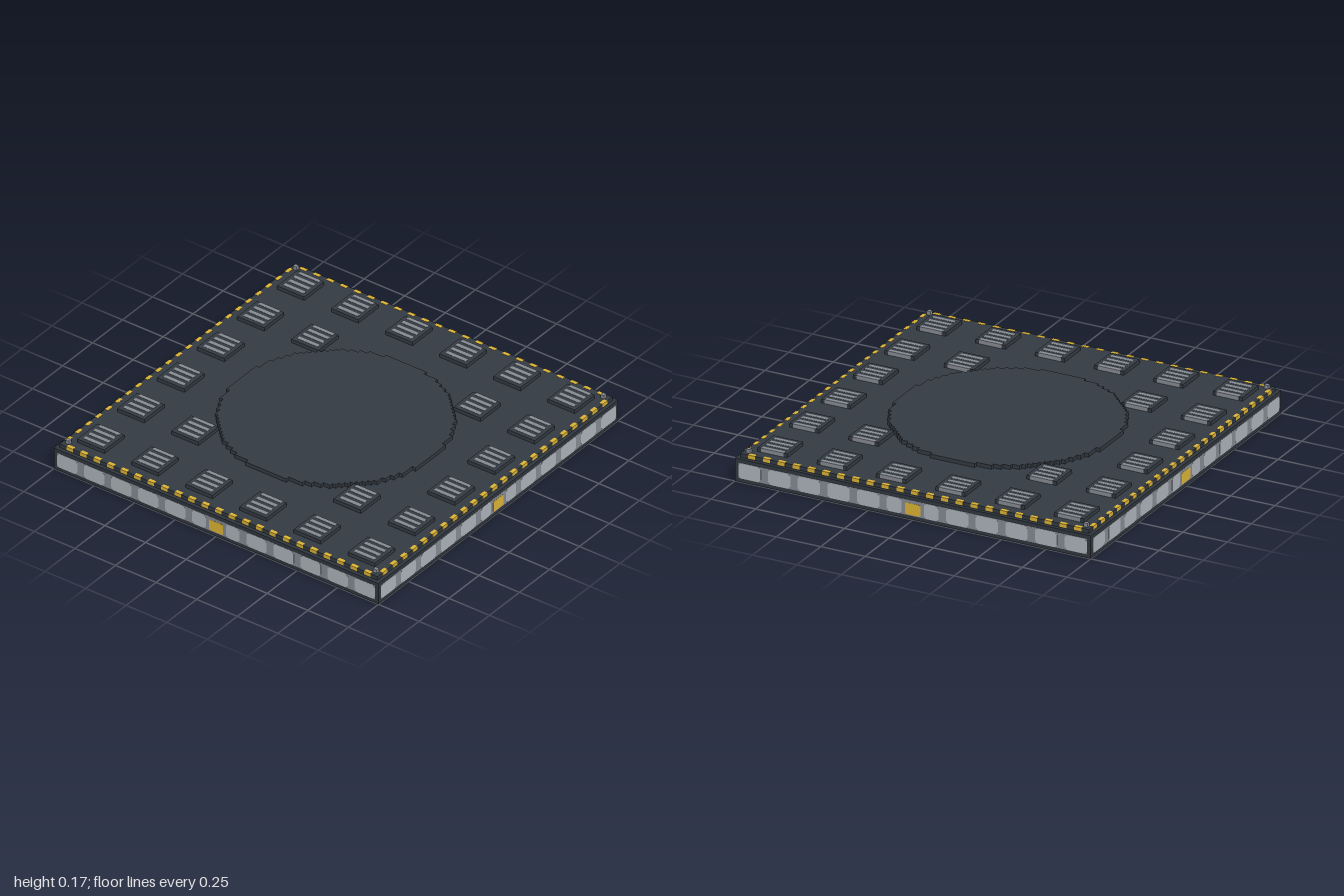
import * as THREE from 'three';

const U = 1 / 48; // grid step: the tile is 96 steps wide
const E = 0.06;   // how far painted plates stand proud, in steps

export function createModel() {
  const model = new THREE.Group();
  model.name = 'floorTile';

  const mat = (name, color) => {
    const m = new THREE.MeshStandardMaterial({ color });
    m.name = name;
    return m;
  };
  const frameDark = mat('frameDark', 0x30363e);
  const deckDark = mat('deckDark', 0x333a42);
  const lightGrey = mat('lightGrey', 0xadb4bb);
  const midGrey = mat('midGrey', 0x868b93);
  const gold = mat('gold', 0xdcb435);
  const baseGrey = mat('baseGrey', 0xa9abae);

  // Box given by its minimum and maximum corners, in grid steps
  const box = (name, material, a, b, parent = model) => {
    const size = a.map((v, i) => (b[i] - v) * U);
    const mesh = new THREE.Mesh(new THREE.BoxGeometry(...size), material);
    mesh.position.set(...a.map((v, i) => ((v + b[i]) / 2) * U));
    mesh.name = name;
    parent.add(mesh);
  };

  // Thin upright plate with clipped corners, facing +z
  const plate = (name, material, [x0, y0], [x1, y1], c, front, parent) => {
    const shape = new THREE.Shape([
      [x0 + c, y0], [x1 - c, y0], [x1, y0 + c], [x1, y1 - c],
      [x1 - c, y1], [x0 + c, y1], [x0, y1 - c], [x0, y0 + c],
    ].map(([x, y]) => new THREE.Vector2(x * U, y * U)));
    const mesh = new THREE.Mesh(
      new THREE.ExtrudeGeometry(shape, { depth: 0.2 * U, bevelEnabled: false }), material);
    mesh.position.z = (front - 0.2) * U;
    mesh.name = name;
    parent.add(mesh);
  };

  // Slab, its underside and the deck
  box('slab', frameDark, [-48, 0.05, -48], [48, 6, 48]);
  box('underside', baseGrey, [-47.8, 0, -47.8], [47.8, 0.2, 47.8]);
  box('deck', deckDark, [-47, 6, -47], [47, 7, 47]);

  // Four identical sides: panels, centre plate and dashed gold edge
  for (let s = 0; s < 4; s++) {
    const side = new THREE.Group();
    side.name = 'side' + s;
    side.rotation.y = (s * Math.PI) / 2;
    model.add(side);
    box('panelBacking', midGrey, [-47, 1, 47.5], [47, 5, 48.02], side);
    for (let k = 0; k < 12; k++) {
      let x0 = -47 + 8 * k;
      let x1 = x0 + 6;
      if (k === 5) x1 = -3;
      if (k === 6) x0 = 3;
      plate('sidePanel', lightGrey, [x0, 1], [x1, 5], 0.7, 48 + E, side);
    }
    plate('centrePlate', gold, [-2.1, 1.2], [2.1, 4.2], 0.3, 48 + E, side);
    for (let x = -44; x <= 44; x += 4) {
      box('edgeDash', gold, [x - 0.95, 6.1, 46.05], [x + 0.95, 7 + E, 47 + E], side);
    }
    box('cornerPin', midGrey, [45, 7, 45], [46, 8, 46], side);
  }

  // Raised stepped disc, one pair of outline points per grid row
  const right = [];
  for (let z = -28; z < 28; z++) {
    const w = Math.round(Math.sqrt(28.2 ** 2 - (z + 0.5) ** 2));
    right.push(new THREE.Vector2(w * U, z * U), new THREE.Vector2(w * U, (z + 1) * U));
  }
  const left = right.map((p) => new THREE.Vector2(-p.x, p.y)).reverse();
  const discGeo = new THREE.ExtrudeGeometry(new THREE.Shape([...right, ...left]),
    { depth: U, bevelEnabled: false });
  discGeo.rotateX(-Math.PI / 2);
  const disc = new THREE.Mesh(discGeo, deckDark);
  disc.position.y = 7 * U;
  disc.name = 'centreDisc';
  model.add(disc);

  // Vent pads around the rim, plus four diagonal ones beside the disc
  for (let i = 0; i < 6; i++) {
    for (let j = 0; j < 6; j++) {
      const rim = i === 0 || i === 5 || j === 0 || j === 5;
      const diagonal = (i === 1 || i === 4) && (j === 1 || j === 4);
      if (!rim && !diagonal) continue;
      const x = -44 + 16 * i;
      const z = -44 + 16 * j;
      const pad = new THREE.Group();
      pad.name = 'ventPad';
      model.add(pad);
      box('padBase', deckDark, [x, 7, z], [x + 8, 8, z + 8], pad);
      // Slats; the last one folds over the pad's side
      for (let k = 1; k < 8; k += 2) {
        const last = k === 7;
        box('slat', midGrey, [x + k, last ? 7 : 7.9, z + 1],
          [x + k + (last ? 1 + E : 1), 8 + E, z + 7], pad);
      }
    }
  }

  return model;
}
